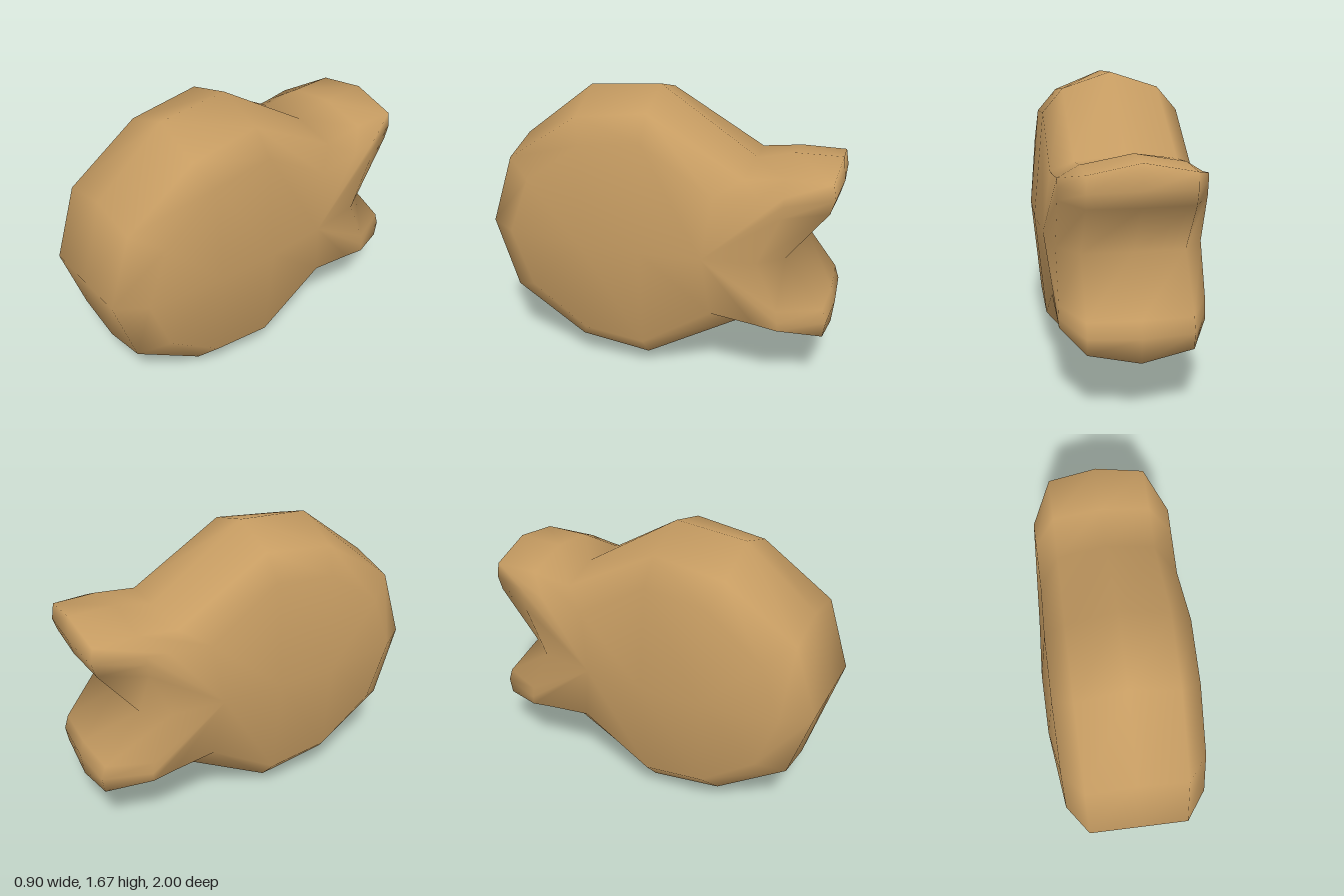
import * as THREE from 'three';
import { mergeVertices } from 'three/addons/utils/BufferGeometryUtils.js';

const MID_Y = 0.84;

// Upper half of the fish outline, nose to tail notch.
// Each row: rim [z,y] at x=0, shoulder [z,y], side edge [z,y], flank spine [z,x]
const HALF = [
  [[1.0, 0.84], [1.0, 0.84], [0.84, 0.84], [0.4, 0.445]],      // nose
  [[0.87, 1.31], [0.87, 1.25], [0.72, 1.17], [0.4, 0.445]],
  [[0.46, 1.64], [0.46, 1.53], [0.4, 1.41], [0.4, 0.445]],
  [[0.05, 1.675], [0.05, 1.585], [0.05, 1.45], [0.05, 0.45]],  // back
  [[-0.51, 1.3], [-0.49, 1.27], [-0.35, 1.19], [-0.3, 0.43]],  // tail root
  [[-0.72, 1.35], [-0.72, 1.3], [-0.6, 1.22], [-0.3, 0.43]],
  [[-0.985, 1.355], [-0.97, 1.3], [-0.73, 1.24], [-0.3, 0.43]], // lobe tip
  [[-1.0, 1.22], [-0.985, 1.21], [-0.73, 1.19], [-0.3, 0.43]],
  [[-0.975, 1.13], [-0.96, 1.13], [-0.72, 1.12], [-0.3, 0.43]],
  [[-0.75, 0.84], [-0.74, 0.84], [-0.6, 0.84], [-0.3, 0.43]],  // notch
];

// Cross-section running from the left flank over the rim to the right flank
function section([rim, shoulder, edge, spine], flip) {
  const y = (v) => (flip ? 2 * MID_Y - v : v);
  const left = [
    [spine[1], MID_Y, spine[0]],
    [0.39, y(edge[1]), edge[0]],
    [0.275, y(shoulder[1]), shoulder[0]],
  ];
  const right = left.map(([x, py, z]) => [-x, py, z]).reverse();
  return [...left, [0, y(rim[1]), rim[0]], ...right];
}

function fishGeometry() {
  const lower = HALF.slice(1, -1).reverse();
  const sections = [
    ...HALF.map((p) => section(p, false)),
    ...lower.map((p) => section(p, true)),
  ];
  const n = sections.length, m = sections[0].length;
  const index = [];
  for (let i = 0; i < n; i++) {
    const k = (i + 1) % n;
    for (let j = 0; j < m - 1; j++) {
      const a = i * m + j, b = k * m + j;
      index.push(a + 1, a, b, a + 1, b, b + 1);
    }
  }
  const geometry = new THREE.BufferGeometry();
  geometry.setAttribute('position', new THREE.Float32BufferAttribute(sections.flat(2), 3));
  geometry.setIndex(index);
  // Join the shared flank points so the sides shade smoothly
  const merged = mergeVertices(geometry, 1e-4);
  merged.computeVertexNormals();
  return merged;
}

export function createModel() {
  const group = new THREE.Group();
  group.name = 'fishCracker';
  const material = new THREE.MeshStandardMaterial({ color: 0xc69c62 });
  const body = new THREE.Mesh(fishGeometry(), material);
  body.name = 'bodyWithTail';
  group.add(body);
  return group;
}
